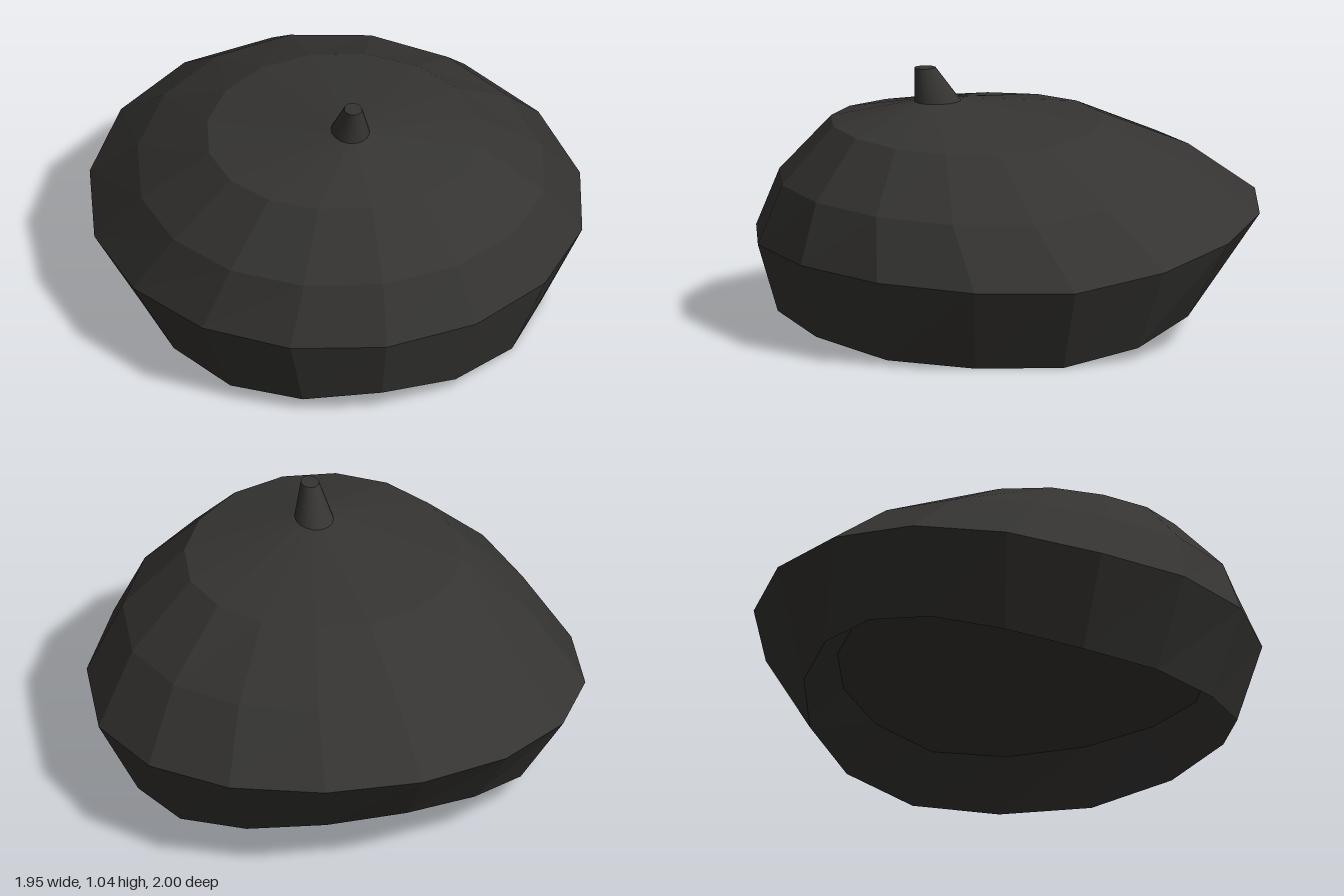
import * as THREE from 'three';

const SIDES = 16;

// One horizontal loop of the cap: half-width, front/back reach and heights at front, side and back.
// lean shifts the front and back points sideways, sag pulls the side points backwards.
function ring({ cx = 0, lean = 0, sag = 0, rx, zf, zb, yf, ys, yb, pf = 2, pb = 1.2 }) {
  const pts = [];
  for (let i = 0; i < SIDES; i++) {
    const a = (i / SIDES) * Math.PI * 2;
    const s = Math.sin(a), c = Math.cos(a);
    const y = c > 0 ? ys + (yf - ys) * c ** pf : ys + (yb - ys) * (-c) ** pb;
    const z = (zf + zb) / 2 + ((zf - zb) / 2) * c - sag * s * s;
    pts.push([cx + lean * c * c + rx * s, y, z]);
  }
  return pts;
}

// Skin consecutive loops of equal length with quads.
function loft(loops) {
  const n = loops[0].length, index = [];
  for (let r = 0; r < loops.length - 1; r++) {
    for (let i = 0; i < n; i++) {
      const j = (i + 1) % n;
      const a = r * n + i, b = r * n + j, c = (r + 1) * n + j, d = (r + 1) * n + i;
      index.push(a, b, c, a, c, d);
    }
  }
  const g = new THREE.BufferGeometry();
  g.setAttribute('position', new THREE.Float32BufferAttribute(loops.flat(2), 3));
  g.setIndex(index);
  g.computeVertexNormals();
  return g;
}

export function createModel() {
  const group = new THREE.Group();
  const color = 0x353432;
  const cloth = new THREE.MeshStandardMaterial({ color, flatShading: true, side: THREE.DoubleSide });
  const smooth = new THREE.MeshStandardMaterial({ color });
  const add = (name, geometry, material) => {
    const mesh = new THREE.Mesh(geometry, material);
    mesh.name = name;
    group.add(mesh);
  };

  const lining = ring({ sag: 0.1, rx: 0.655, zf: 0.82, zb: -0.65, yf: 0.27, ys: 0.17, yb: 0.32 });
  const hem = ring({ cx: 0.01, lean: -0.05, sag: 0.09, rx: 0.8, zf: 0.92, zb: -0.795, yf: 0.09, ys: 0, yb: 0.2, pf: 7, pb: 1.5 });
  const brim = ring({ lean: -0.04, sag: 0.035, rx: 0.975, zf: 1, zb: -1, yf: 0.36, ys: 0.333, yb: 0.48 });
  const shoulder = ring({ cx: -0.01, lean: -0.02, rx: 0.805, zf: 0.905, zb: -0.73, yf: 0.595, ys: 0.575, yb: 0.675 });
  const upper = ring({ cx: -0.015, lean: -0.015, rx: 0.545, zf: 0.7, zb: -0.37, yf: 0.82, ys: 0.8, yb: 0.825 });
  const stemBase = ring({ cx: -0.02, rx: 0.075, zf: 0.375, zb: 0.19, yf: 0.905, ys: 0.905, yb: 0.905 });
  const stemTop = ring({ cx: -0.02, rx: 0.035, zf: 0.375, zb: 0.29, yf: 1.04, ys: 1.04, yb: 1.04 });
  const point = (x, y, z) => Array.from({ length: SIDES }, () => [x, y, z]);

  // Puffed cloth: turned-in hem, band, dome
  add('cap', loft([lining, hem, brim, shoulder, upper, stemBase]), cloth);
  // Underside closing the opening
  add('innerLining', loft([point(0, 0.22, 0.06), lining]), smooth);
  // Leaning stalk on the crown
  add('stem', loft([stemBase, stemTop]), smooth);
  add('stemTop', loft([stemTop, point(-0.02, 1.04, 0.333)]), cloth);

  return group;
}
